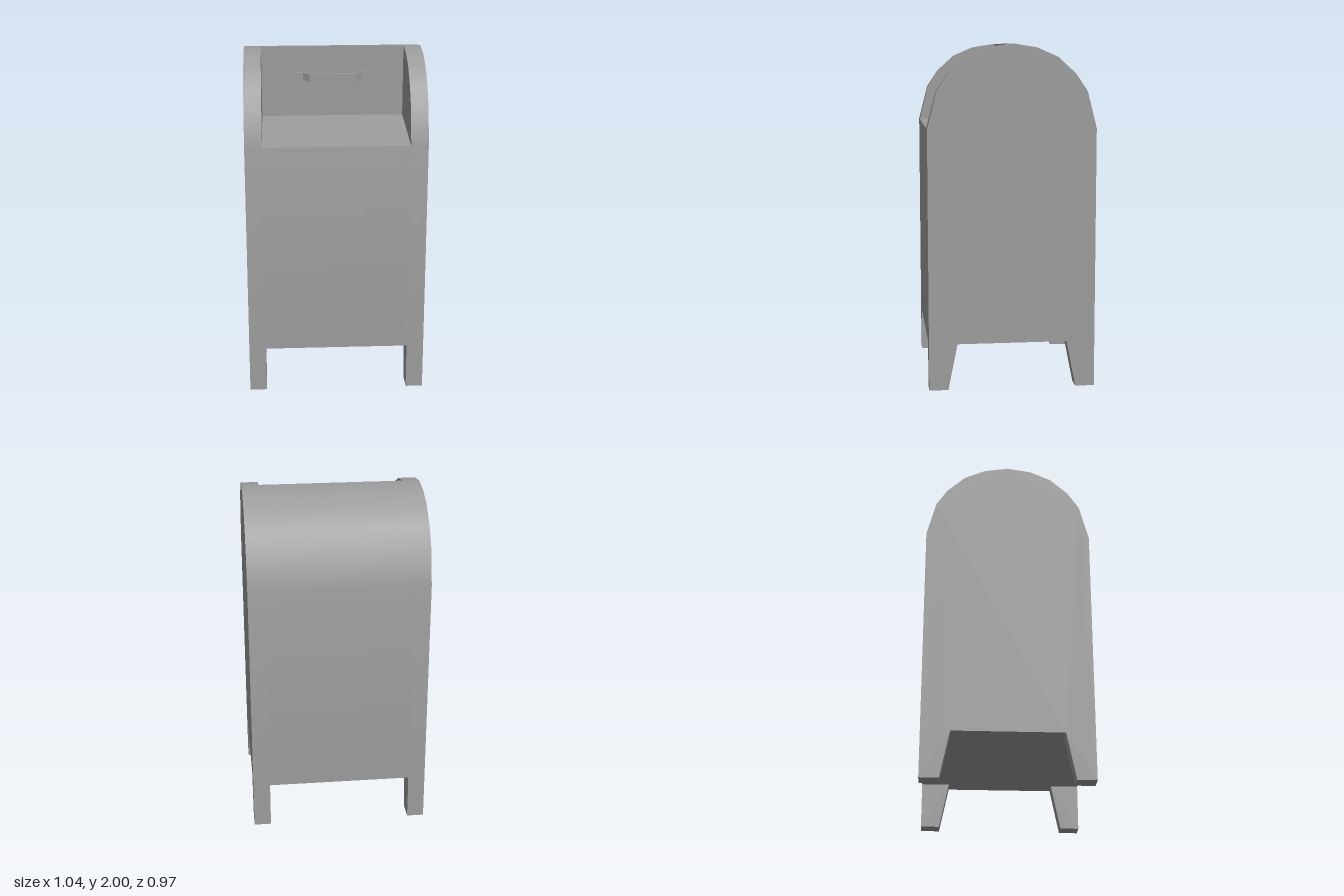
import * as THREE from 'three';

const HALF_WIDTH = 0.522, INNER = 0.422, HALF_DEPTH = 0.486, BASE = 0.272;

// Half of the domed roof, from the eave up to the ridge, as [z, y]
const DOME = [[HALF_DEPTH, 1.52], [0.432, 1.73], [0.365, 1.83], [0.26, 1.925], [0.14, 1.978], [0, 2]];
const BACK_DOME = DOME.map(([z, y]) => [-z, y]).reverse();
const ROOF = [...DOME, ...BACK_DOME.slice(1)];

const material = new THREE.MeshStandardMaterial({ color: 0x9b9b9b });

const toShape = (points) => new THREE.Shape(points.map(([a, b]) => new THREE.Vector2(a, b)));

// Smooth normal at each roof point: the mean of the two facets meeting there
const outline = [[HALF_DEPTH, BASE], ...ROOF, [-HALF_DEPTH, BASE]];
const facetNormal = ([z0, y0], [z1, y1]) => new THREE.Vector3(0, z0 - z1, y1 - y0).normalize();
const ROOF_NORMALS = ROOF.map((point, i) =>
  facetNormal(outline[i], point).add(facetNormal(point, outline[i + 2])).normalize());

// Rounds the roof's shading and keeps every other edge sharp
function smoothRoof(geometry) {
  const { position, normal } = geometry.attributes;
  const flat = new THREE.Vector3();
  for (let i = 0; i < position.count; i++) {
    const found = ROOF.findIndex(([z, y]) => Math.hypot(position.getZ(i) - z, position.getY(i) - y) < 1e-4);
    if (found < 0) continue;
    const smooth = ROOF_NORMALS[found];
    if (flat.fromBufferAttribute(normal, i).dot(smooth) > 0.9) normal.setXYZ(i, smooth.x, smooth.y, smooth.z);
  }
}

// Extrudes a [z, y] side profile across x, from x0 to x1
function sidePart(name, profile, x0, x1) {
  const geometry = new THREE.ExtrudeGeometry(toShape(profile), { depth: x1 - x0, bevelEnabled: false });
  geometry.rotateY(-Math.PI / 2).translate(x1, 0, 0);
  smoothRoof(geometry);
  const mesh = new THREE.Mesh(geometry, material);
  mesh.name = name;
  return mesh;
}

export function createModel() {
  const group = new THREE.Group();
  group.name = 'mailbox';

  // Side walls with the tapered legs cut into their lower edge
  const wallProfile = [
    [-HALF_DEPTH, 0], [-0.375, 0], [-0.32, BASE], [0.32, BASE], [0.375, 0], [HALF_DEPTH, 0], ...ROOF,
  ];
  group.add(sidePart('leftWallAndLegs', wallProfile, INNER, HALF_WIDTH));
  group.add(sidePart('rightWallAndLegs', wallProfile, -HALF_WIDTH, -INNER));

  // Body between the walls, with the sloped shelf and upright door at the front
  const bodyProfile = [
    [-HALF_DEPTH, BASE], [HALF_DEPTH, BASE], [HALF_DEPTH, 1.52], [0, 1.58], ...BACK_DOME,
  ];
  group.add(sidePart('body', bodyProfile, -INNER, INNER));

  // Bent strap handle, drawn as [x, z] and extruded downwards
  const bend = [[0.242, 0], [0.176, 0], [0.137, 0.04]];
  const rear = [...bend, ...bend.map(([x, z]) => [-x, z]).reverse()];
  const front = rear.map(([x, z]) => [x, z + 0.02]).reverse();
  const handleGeometry = new THREE.ExtrudeGeometry(toShape([...rear, ...front]), { depth: 0.045, bevelEnabled: false });
  handleGeometry.rotateX(Math.PI / 2).translate(0, 1.845, 0);
  const handle = new THREE.Mesh(handleGeometry, material);
  handle.name = 'doorHandle';
  group.add(handle);

  return group;
}
